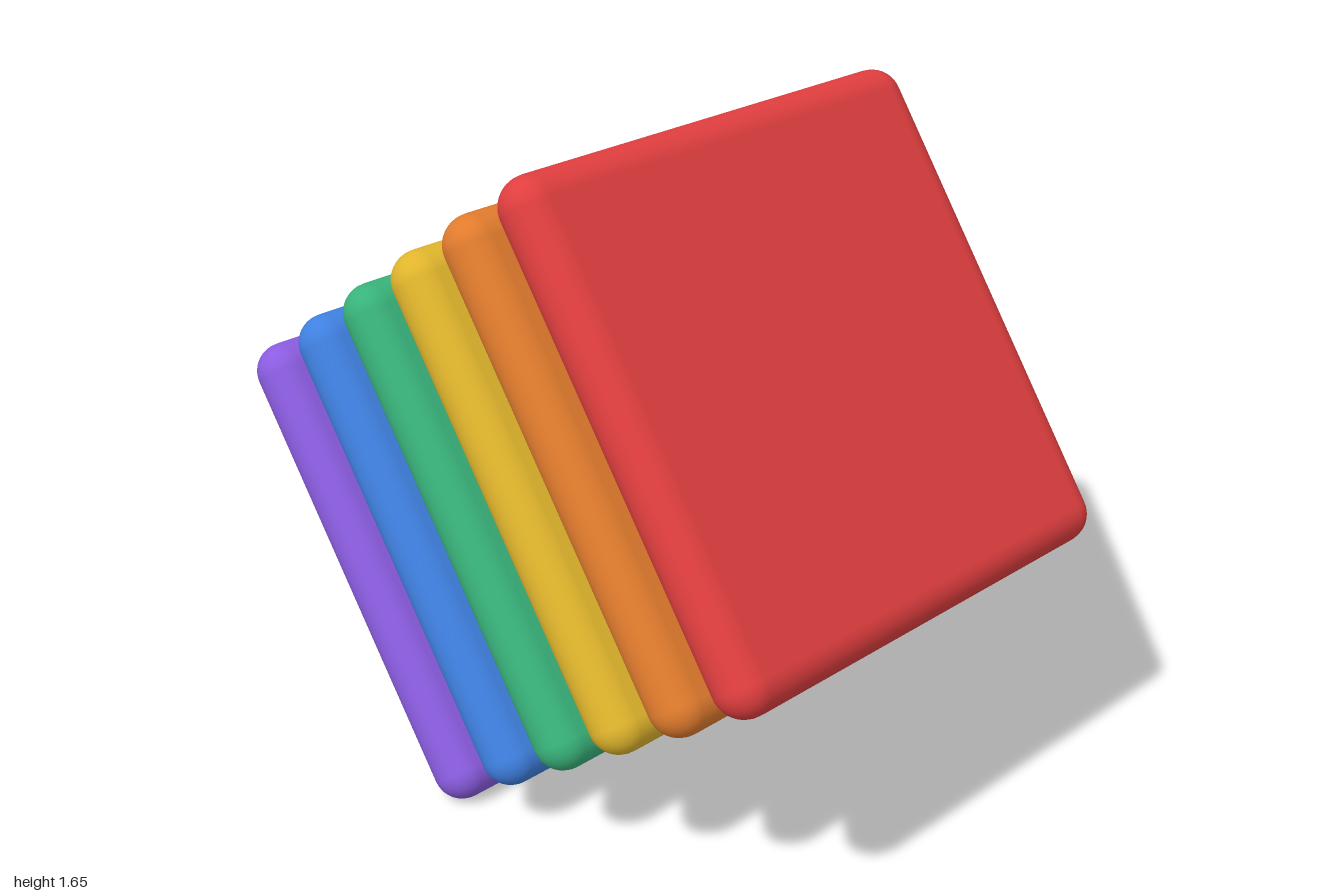
import * as THREE from 'three';
import { RoundedBoxGeometry } from 'three/addons/geometries/RoundedBoxGeometry.js';

const SIZE = 1.194;      // side of each square panel
const THICKNESS = 0.14;  // edges are fully rounded
const SPACING = 0.2255;  // distance between panels along their normal

// Bottom (back) to top (front)
const COLORS = [
  ['purple', 0x8b5ce0],
  ['blue', 0x3f80e0],
  ['green', 0x38b27a],
  ['yellow', 0xe0b52c],
  ['orange', 0xe07b2d],
  ['red', 0xe03e3f],
];

export function createModel() {
  const model = new THREE.Group();
  model.name = 'panelStack';

  // The whole stack is turned sideways and leans back
  const stack = new THREE.Group();
  stack.name = 'tiltedStack';
  stack.rotation.set(-Math.atan(Math.SQRT1_2), THREE.MathUtils.degToRad(37.9), 0, 'YXZ');
  stack.position.y = 0.825;
  model.add(stack);

  const geometry = new RoundedBoxGeometry(SIZE, SIZE, THICKNESS, 5, THICKNESS / 2 - 0.0005);

  COLORS.forEach(([name, color], i) => {
    const material = new THREE.MeshStandardMaterial({ color });
    material.name = name;
    const panel = new THREE.Mesh(geometry, material);
    panel.name = `${name}Panel`;
    panel.position.z = (i - (COLORS.length - 1) / 2) * SPACING;
    stack.add(panel);
  });

  return model;
}
